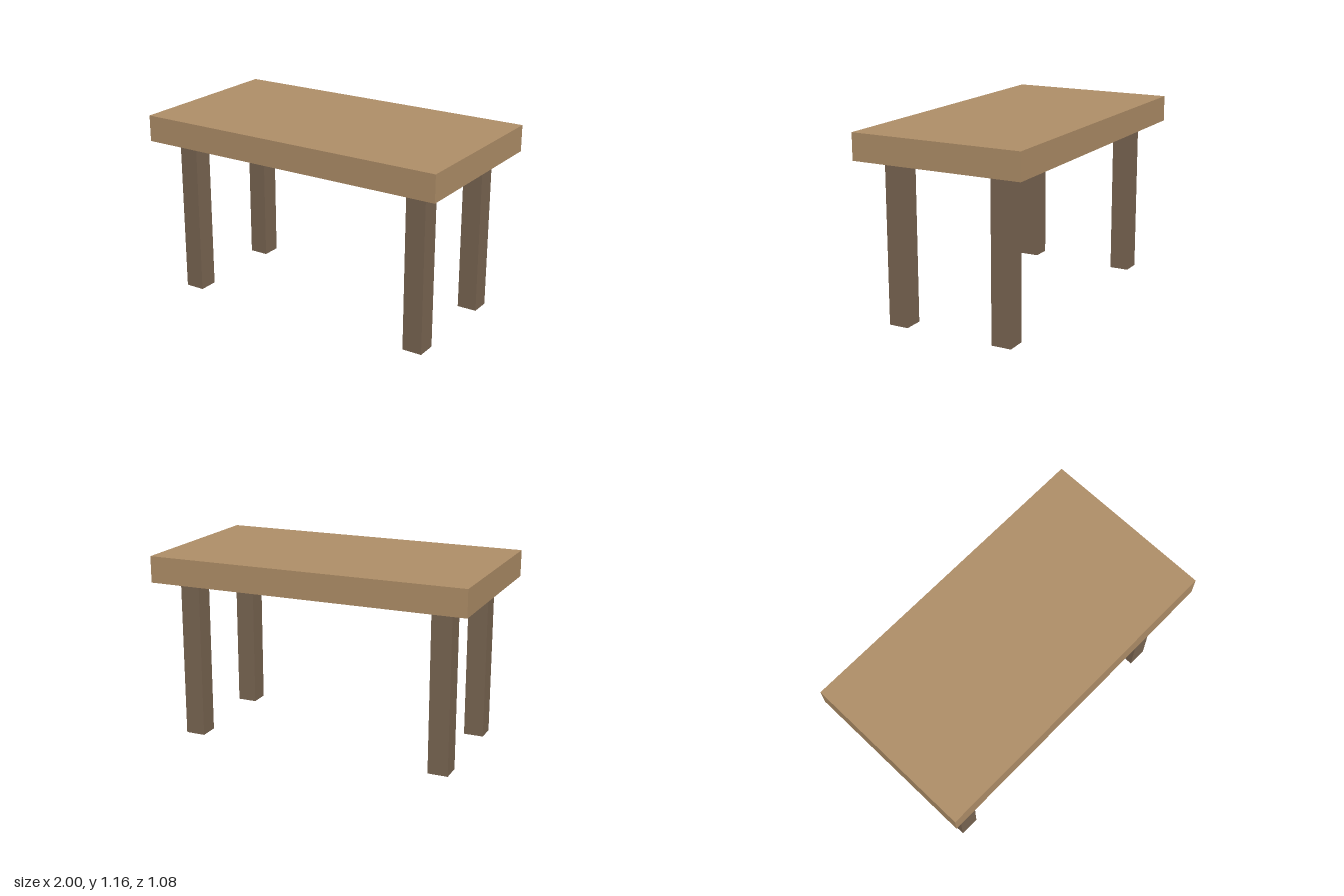
import * as THREE from 'three';

export function createModel() {
  const table = new THREE.Group();
  table.name = 'table';
  const topWood = new THREE.MeshStandardMaterial({ color: 0xb08f68 });
  const legWood = new THREE.MeshStandardMaterial({ color: 0x7a6652 });

  const legHeight = 0.998, topThickness = 0.164;

  // Thick slab top
  const top = new THREE.Mesh(new THREE.BoxGeometry(2, topThickness, 1.077), topWood);
  top.name = 'tableTop';
  top.position.y = legHeight + topThickness / 2;
  table.add(top);

  // Four square legs, set in from the corners
  const legGeometry = new THREE.BoxGeometry(0.124, legHeight, 0.124);
  for (const [zName, z] of [['front', 1], ['back', -1]]) {
    for (const [xName, x] of [['Left', 1], ['Right', -1]]) {
      const leg = new THREE.Mesh(legGeometry, legWood);
      leg.name = `${zName}${xName}Leg`;
      leg.position.set(x * 0.812, legHeight / 2, z * 0.345);
      table.add(leg);
    }
  }
  return table;
}
